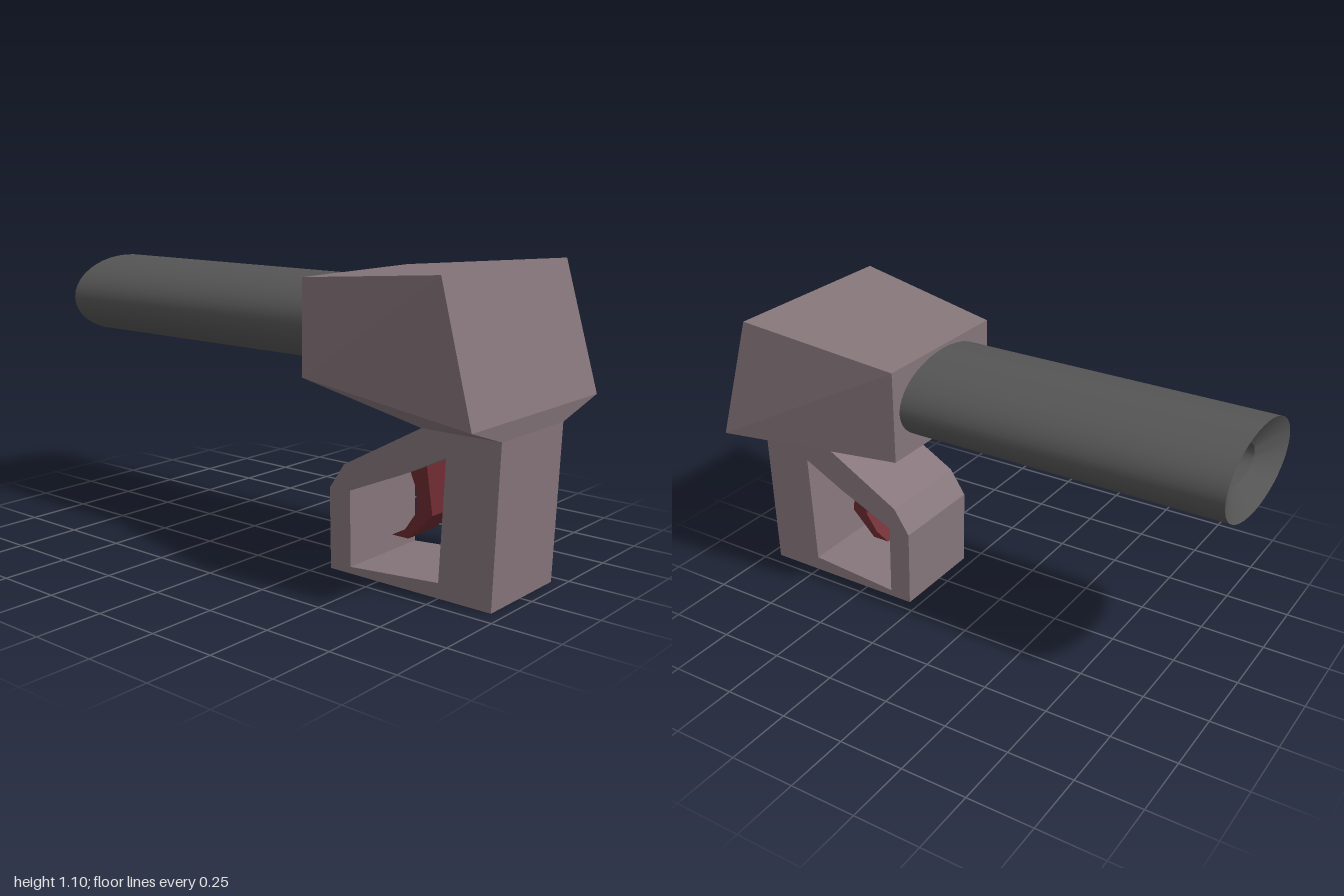
import * as THREE from 'three';
import { toCreasedNormals } from 'three/addons/utils/BufferGeometryUtils.js';
import { ConvexGeometry } from 'three/addons/geometries/ConvexGeometry.js';

const V2 = (p) => new THREE.Vector2(p[0], p[1]);

function part(name, geometry, color, flat) {
  const material = new THREE.MeshStandardMaterial({ color, flatShading: flat, side: THREE.DoubleSide });
  const mesh = new THREE.Mesh(geometry, material);
  mesh.name = name;
  return mesh;
}

// Side outline extruded evenly to both sides of z = 0
function slab(outline, hole, width) {
  const shape = new THREE.Shape(outline.map(V2));
  if (hole) shape.holes.push(new THREE.Path(hole.map(V2)));
  const g = new THREE.ExtrudeGeometry(shape, { depth: width, bevelEnabled: false });
  return g.translate(0, 0, -width / 2);
}

export function createModel() {
  const model = new THREE.Group();
  const mauve = 0x85757a;

  // Barrel: oval tube along x with a dished muzzle and a small bore
  const profile = [[0, -0.32], [1, -0.32], [1, 1], [0.4, 0.94], [0.4, 0.88], [0, 0.88]].map(V2);
  let barrel = new THREE.LatheGeometry(profile, 40);
  barrel.rotateZ(Math.PI / 2).scale(1, 0.155, 0.278);
  barrel = toCreasedNormals(barrel, 0.45);
  barrel.translate(0, 0.877, -0.027);
  model.add(part('barrel', barrel, 0x555555, false));

  // Head: slightly skewed block tapering down to the grip
  // Each row is x, y, z near the back, z near the front
  const edges = [
    [0.225, 1.045, -0.34, 0.265], [0.225, 0.70, -0.34, 0.265],
    [0.88, 1.107, -0.357, 0.398], [0.995, 0.643, -0.397, 0.388],
    [0.68, 0.58, -0.188, 0.198], [0.985, 0.58, -0.188, 0.198],
  ];
  const corners = edges.flatMap(([x, y, z0, z1]) => [new THREE.Vector3(x, y, z0), new THREE.Vector3(x, y, z1)]);
  model.add(part('head', new ConvexGeometry(corners), mauve, true));

  // Grip and finger guard in one frame, leaning a little sideways towards the base
  const frame = slab(
    [[0.29, 0.005], [0.955, 0.005], [0.985, 0.59], [0.70, 0.59], [0.355, 0.4], [0.29, 0.305]],
    [[0.38, 0.03], [0.38, 0.31], [0.61, 0.41], [0.778, 0.495], [0.75, 0.06]],
    0.386,
  );
  const pos = frame.attributes.position;
  for (let i = 0; i < pos.count; i++) {
    pos.setZ(i, pos.getZ(i) + 0.005 - 0.05 * (0.58 - pos.getY(i)) * 0.9 / 0.9 * 0.6);
  }
  frame.computeVertexNormals();
  model.add(part('gripAndGuard', frame, mauve, true));

  // Trigger: hooked blade hanging from the guard
  const trigger = slab(
    [[0.56, 0.40], [0.59, 0.33], [0.592, 0.25], [0.545, 0.18], [0.49, 0.15],
      [0.56, 0.15], [0.658, 0.25], [0.63, 0.43]],
    null, 0.16,
  ).translate(0, 0, 0.01);
  model.add(part('trigger', trigger, 0x6b2a30, true));

  return model;
}
